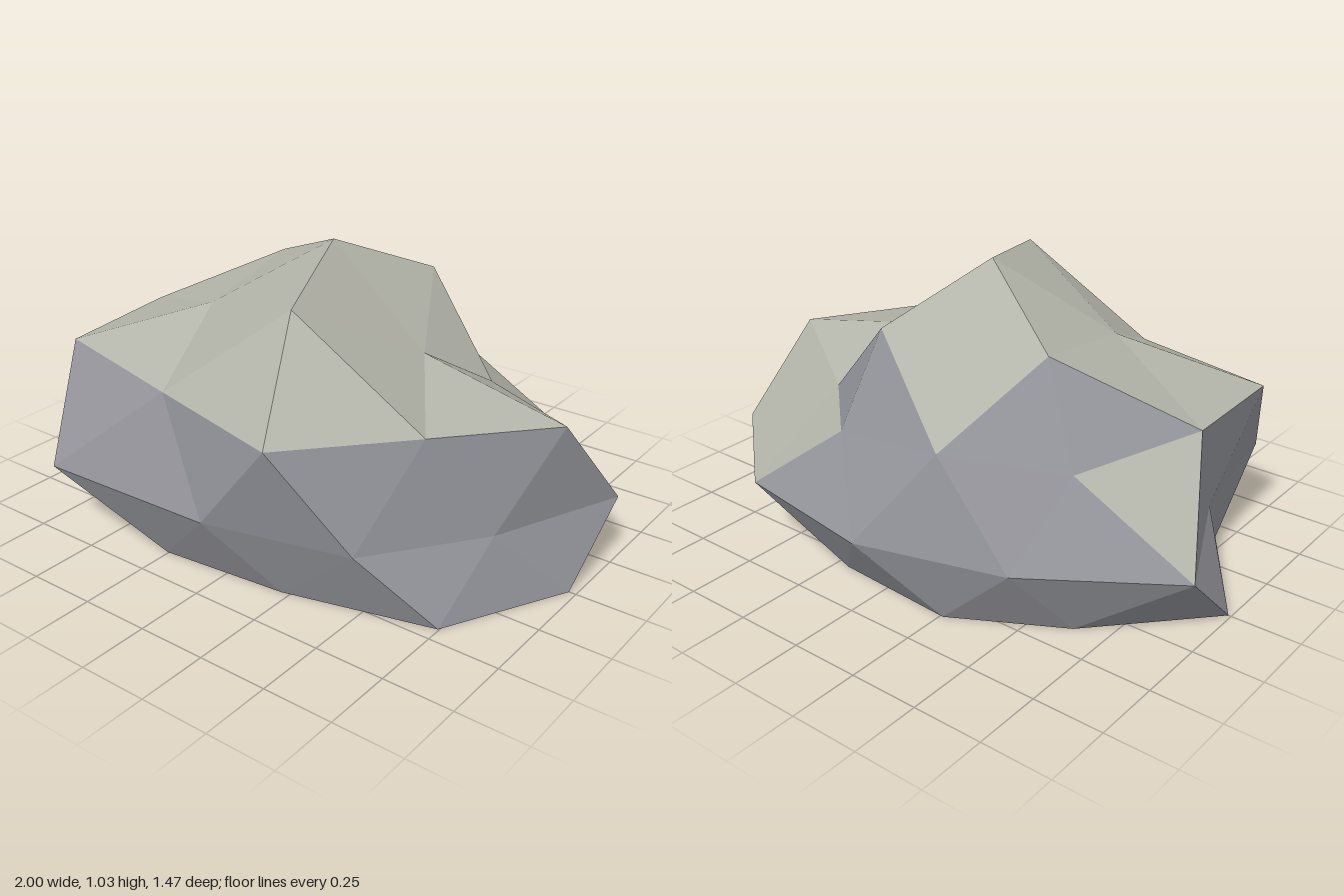
import * as THREE from 'three';

// Rings of the boulder, each ordered around the y axis from +x towards +z
const apex = [0, 1.03, 0];
const crown = [
  [0.38, 0.705, 0], [0.18, 0.95, 0.455], [-0.375, 0.78, 0.21], [-0.415, 0.85, -0.24], [0.155, 0.855, -0.395],
];
const shoulder = [
  [0.92, 0.59, 0], [0.635, 0.61, 0.375], [0.285, 0.6, 0.73], [-0.25, 0.607, 0.605], [-0.815, 0.615, 0.47],
  [-0.845, 0.63, 0], [-0.595, 0.53, -0.345], [-0.245, 0.59, -0.59], [0.21, 0.52, -0.55], [0.48, 0.525, -0.29],
];
const waist = [
  [0.8, 0.21], [0.52, 0.59], [0, 0.715], [-0.68, 0.735], [-0.78, 0.21],
  [-1, -0.265], [-0.525, -0.585], [0, -0.735], [0.56, -0.645], [1, -0.265],
].map(([x, z]) => [x, 0.25, z]);
const foot = [
  [0.975, 0], [0.745, 0.44], [0.22, 0.575], [-0.255, 0.62], [-0.705, 0.42],
  [-0.99, 0], [-0.635, -0.38], [-0.26, -0.59], [0.2, -0.56], [0.66, -0.395],
].map(([x, z]) => [x, 0, z]);

// Wrap-around access to a ring
const at = (ring, i) => ring[(i + ring.length) % ring.length];

function boulderFaces() {
  const faces = [];
  // Cap: apex to crown, crown to shoulder
  for (let i = 0; i < 5; i++) {
    const c = crown[i], next = at(crown, i + 1), j = 2 * i;
    faces.push(
      [apex, next, c],
      [c, at(shoulder, j + 1), shoulder[j]],
      [c, shoulder[j], at(shoulder, j - 1)],
      [c, next, at(shoulder, j + 1)],
    );
  }
  // Sides: zigzag bands down to the foot, then the flat underside
  for (let j = 0; j < 10; j++) {
    faces.push(
      [shoulder[j], at(shoulder, j + 1), waist[j]],
      [shoulder[j], waist[j], at(waist, j - 1)],
      [at(waist, j - 1), waist[j], foot[j]],
      [waist[j], at(foot, j + 1), foot[j]],
      [[0, 0, 0], foot[j], at(foot, j + 1)],
    );
  }
  return faces;
}

// Upward component of a face's normal
function slope(face) {
  const [a, b, c] = face.map((p) => new THREE.Vector3(...p));
  return new THREE.Triangle(a, b, c).getNormal(new THREE.Vector3()).y;
}

function facetMesh(name, faces, material) {
  const geometry = new THREE.BufferGeometry();
  geometry.setAttribute('position', new THREE.Float32BufferAttribute(faces.flat(2), 3));
  geometry.computeVertexNormals();
  const mesh = new THREE.Mesh(geometry, material);
  mesh.name = name;
  return mesh;
}

export function createModel() {
  const stone = new THREE.MeshStandardMaterial({ color: 0x94959b });
  stone.name = 'coolGreyStone';
  const paleStone = new THREE.MeshStandardMaterial({ color: 0xb4b5aa });
  paleStone.name = 'paleWarmStone';

  // Faces that look upward are paler than the steep ones
  const faces = boulderFaces();
  const isTop = (face) => slope(face) > 0.55;

  const group = new THREE.Group();
  group.name = 'boulder';
  group.add(
    facetMesh('weatheredTop', faces.filter(isTop), paleStone),
    facetMesh('rockSides', faces.filter((f) => !isTop(f)), stone),
  );
  return group;
}
